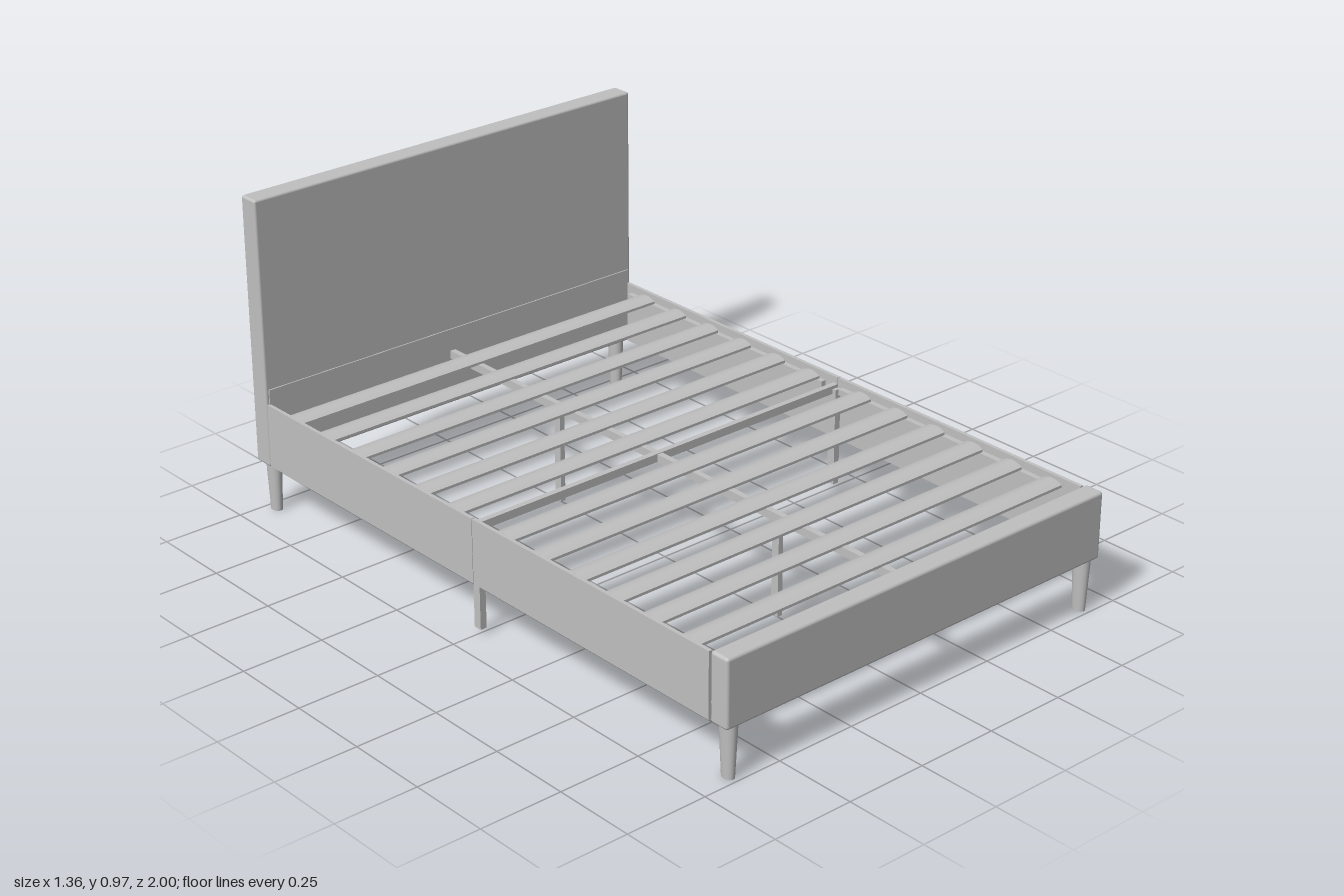
import * as THREE from 'three';
import { RoundedBoxGeometry } from 'three/addons/geometries/RoundedBoxGeometry.js';

export function createModel() {
  const bed = new THREE.Group();
  bed.name = 'bed';
  const grey = new THREE.MeshStandardMaterial({ color: 0xc0c0c0 });
  grey.name = 'grey';

  const add = (name, geometry, x, y, z) => {
    const mesh = new THREE.Mesh(geometry, grey);
    mesh.name = name;
    mesh.position.set(x, y, z);
    bed.add(mesh);
    return mesh;
  };
  // box given by its limits on each axis
  const box = (name, [x0, x1], [y0, y1], [z0, z1], radius = 0) => {
    const size = [x1 - x0, y1 - y0, z1 - z0];
    const geometry = radius
      ? new RoundedBoxGeometry(...size, 3, radius)
      : new THREE.BoxGeometry(...size);
    return add(name, geometry, (x0 + x1) / 2, (y0 + y1) / 2, (z0 + z1) / 2);
  };

  // padded end boards
  box('headboard', [-0.68, 0.68], [0.155, 0.97], [-1, -0.936], 0.007);
  box('footboard', [-0.68, 0.68], [0.155, 0.357], [0.938, 1], 0.009);
  box('headPanel', [-0.67, 0.67], [0.2, 0.395], [-0.94, -0.932]);

  // side rails in two halves, with the ledges that carry the slats
  for (const side of [-1, 1]) {
    const span = (a, b) => (side > 0 ? [a, b] : [-b, -a]);
    box('rearSideRail', span(0.666, 0.677), [0.157, 0.35], [-0.936, -0.001]);
    box('frontSideRail', span(0.666, 0.677), [0.157, 0.35], [0.001, 0.93]);
    box('rearLedge', span(0.649, 0.666), [0.308, 0.326], [-0.91, -0.05]);
    box('frontLedge', span(0.649, 0.666), [0.308, 0.326], [0.02, 0.81]);
    box('footBracket', span(0.645, 0.668), [0.2, 0.34], [0.924, 0.939]);
    box('sideSupportLeg', span(0.646, 0.666), [0.017, 0.32], [-0.014, 0.012]);

    // tapered oval corner legs
    for (const z of [-0.966, 0.968]) {
      const leg = add('cornerLeg', new THREE.CylinderGeometry(0.021, 0.015, 0.16, 20), side * 0.645, 0.08, z);
      leg.scale.z = 1.35;
    }
  }

  // centre beam, cross bar and their support legs
  box('centreBeam', [-0.027, -0.009], [0.303, 0.328], [-0.93, 0.925]);
  box('crossBar', [-0.666, 0.666], [0.305, 0.33], [-0.018, 0]);
  for (const z of [-0.437, 0.475]) {
    box('centreSupportLeg', [-0.026, -0.01], [0.02, 0.31], [z - 0.013, z + 0.013]);
  }

  // gently arched slats
  const profile = new THREE.Shape();
  profile.moveTo(-0.034, 0);
  profile.quadraticCurveTo(0, 0.018, 0.034, 0);
  profile.lineTo(0.034, -0.008);
  profile.quadraticCurveTo(0, 0.01, -0.034, -0.008);
  const slat = new THREE.ExtrudeGeometry(profile, { depth: 1.316, bevelEnabled: false, curveSegments: 8 });
  slat.translate(0, 0, -0.658).rotateY(Math.PI / 2);
  for (let i = 0; i < 6; i++) {
    add('slat', slat, 0, 0.335, -0.83 + i * 0.1455);
    add('slat', slat, 0, 0.335, 0.11 + i * 0.1455);
  }
  return bed;
}
